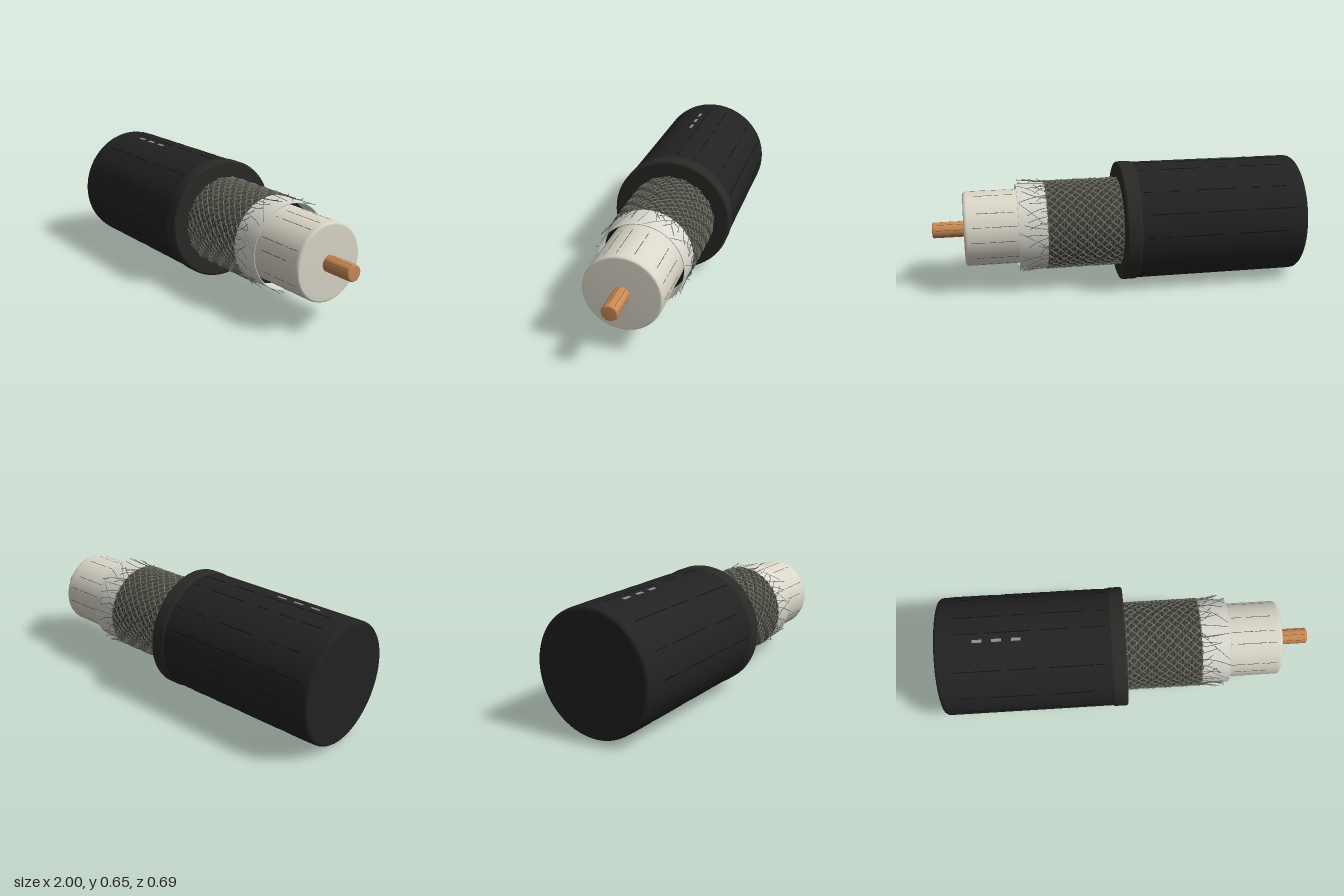
import * as THREE from 'three';
import { mergeGeometries } from 'three/addons/utils/BufferGeometryUtils.js';

const UP = new THREE.Vector3(1, 0, 0);

// small seeded generator
let seed = 7;
const rand = (a = 0, b = 1) => {
  seed = (seed * 16807) % 2147483647;
  return a + (b - a) * (seed / 2147483647);
};

// point on the cable: s along the axis, r from it, angle a from the top towards the front
const at = (s, r, a) => new THREE.Vector3(s, r * Math.cos(a), r * Math.sin(a));

const mat = (color, side = THREE.FrontSide) => new THREE.MeshStandardMaterial({ color, side });

function part(name, geometry, material) {
  const mesh = new THREE.Mesh(geometry, material);
  mesh.name = name;
  return mesh;
}

// turned body from [s, r] pairs
function turned(profile, segments = 64) {
  const points = profile.map(([s, r]) => new THREE.Vector2(r, s));
  return new THREE.LatheGeometry(points, segments).rotateZ(-Math.PI / 2);
}

function wire(points, radius, steps, sides = 4) {
  return new THREE.TubeGeometry(new THREE.CatmullRomCurve3(points), steps, radius, sides);
}

// thin strip lying lengthwise on a round surface
function strip(s0, s1, r, a, width, height) {
  return new THREE.BoxGeometry(s1 - s0, height, width)
    .translate((s0 + s1) / 2, r, 0)
    .applyMatrix4(new THREE.Matrix4().makeRotationAxis(UP, a));
}

// broken lengthwise grooves around a body
function grooves(count, s0, s1, r, width) {
  const list = [];
  for (let i = 0; i < count; i++) {
    const a = (i / count) * Math.PI * 2 + rand(0, 0.25);
    let s = s0 + rand(0, 0.1) * (s1 - s0);
    while (s < s1 - 0.03) {
      const e = Math.min(s1, s + rand(0.06, 0.35) * (s1 - s0));
      list.push(strip(s, e, r, a, width, 0.003));
      s = e + rand(0.01, 0.12) * (s1 - s0);
    }
  }
  return mergeGeometries(list);
}

export function createModel() {
  seed = 7;
  const model = new THREE.Group();
  model.name = 'strippedCable';
  const cable = new THREE.Group();
  cable.name = 'cable';
  cable.position.set(0, 0.327, 0.018);
  cable.rotation.y = -0.0436;
  model.add(cable);

  const jacketMat = mat(0x222222);
  const darkMat = mat(0x0e0e0e);
  const wireMat = mat(0x77776c);
  const foilMat = mat(0xd8d8d0, THREE.DoubleSide);

  // outer jacket with softened rear edge
  cable.add(part('jacket', turned([
    [-0.985, 0], [-0.985, 0.3], [-0.983, 0.312], [-0.975, 0.318], [-0.96, 0.32],
    [-0.5, 0.32], [-0.02, 0.32],
  ], 80), jacketMat));
  cable.add(part('jacketGrooves', grooves(14, -0.95, -0.1, 0.32, 0.004), darkMat));

  // raised lip where the jacket is cut
  cable.add(part('jacketLip', turned([
    [-0.085, 0.316], [-0.08, 0.323], [-0.07, 0.325], [-0.012, 0.325], [-0.003, 0.322],
    [0, 0.314], [0, 0.312], [0, 0.235],
  ], 80), mat(0x2b2926)));

  // three pale dashes on top of the jacket
  const dashes = [-0.785, -0.685, -0.585].map((s) => strip(s, s + 0.05, 0.32, 0.13, 0.016, 0.004));
  cable.add(part('markingDashes', mergeGeometries(dashes), mat(0x8c8c8c)));

  // braid core
  cable.add(part('braidCore', turned([
    [-0.02, 0.233], [0.4, 0.233], [0.4, 0.232], [0.4, 0.2],
  ]), mat(0x34342f)));

  // woven braid: two opposing sets of strands passing over and under
  const braid = [];
  const COUNT = 32, STEPS = 36;
  for (const dir of [1, -1]) {
    for (let i = 0; i < COUNT; i++) {
      const pts = [];
      for (let k = 0; k <= STEPS; k++) {
        const t = k / STEPS;
        const a = (i / COUNT) * Math.PI * 2 + dir * t * 1.75;
        const r = 0.2355 + dir * 0.003 * Math.sin(t * Math.PI * 18 + i * Math.PI);
        pts.push(at(-0.01 + t * 0.415, r, a));
      }
      braid.push(wire(pts, 0.0038, STEPS * 2));
    }
  }
  cable.add(part('braidStrands', mergeGeometries(braid), wireMat));

  // fine hoops that give the braid its ribbed edge
  const hoops = [];
  for (let s = 0.008; s < 0.4; s += 0.0155) {
    hoops.push(new THREE.TorusGeometry(0.236, 0.003, 4, 64).rotateY(Math.PI / 2).translate(s, 0, 0));
  }
  cable.add(part('braidHoops', mergeGeometries(hoops), mat(0x55554c)));

  // loose wires at the end of the braid
  const fray = [];
  for (let i = 0; i < 64; i++) {
    const a = (i / 64) * Math.PI * 2 + rand(-0.05, 0.05);
    const len = rand(0.03, 0.15), lift = rand(0, 0.018), turn = rand(-0.25, 0.25);
    fray.push(wire([
      at(0.385, 0.235, a),
      at(0.4 + len * 0.5, 0.235 + lift * 0.3, a + turn * 0.4),
      at(0.4 + len, 0.235 + lift, a + turn),
    ], 0.0016, 6));
  }
  cable.add(part('frayedWires', mergeGeometries(fray), mat(0x66665c)));

  // foil sleeve, open at the front
  cable.add(part('foil', turned([
    [0.38, 0.232], [0.45, 0.231], [0.5, 0.229], [0.55, 0.228],
    [0.552, 0.226], [0.55, 0.223], [0.5, 0.222], [0.4, 0.222],
  ]), foilMat));
  cable.add(part('foilGap', turned([[0.45, 0.225], [0.45, 0.195]]), mat(0x1c1c1a, THREE.DoubleSide)));

  // overlapping foil edges and creases
  const creases = [];
  for (let i = 0; i < 9; i++) {
    const a = -0.5 + i * 0.7 + rand(-0.15, 0.15), sweep = rand(0.3, 0.7);
    const pts = [0, 0.33, 0.67, 1].map((t) => at(0.4 + t * 0.145, 0.232 - t * 0.003, a + t * sweep));
    creases.push(wire(pts, 0.0014, 10));
  }
  cable.add(part('foilCreases', mergeGeometries(creases), mat(0x77776f)));

  // pale insulation
  cable.add(part('insulation', turned([
    [0.4, 0.2], [0.6, 0.2], [0.815, 0.2], [0.827, 0.197], [0.833, 0.188], [0.833, 0],
  ]), mat(0xdad6c8)));
  cable.add(part('insulationGrooves', grooves(14, 0.55, 0.8, 0.199, 0.003), mat(0x55534c)));

  // copper conductor
  cable.add(part('conductor', turned([
    [0.8, 0.042], [0.9, 0.042], [0.992, 0.042], [0.998, 0.039], [1, 0.034], [1, 0],
  ], 32), mat(0xc98a55)));
  const scores = [];
  for (let i = 0; i < 8; i++) {
    scores.push(strip(0.835, 0.985, 0.0415, (i / 8) * Math.PI * 2 + 0.2, 0.002, 0.0015));
  }
  cable.add(part('conductorScores', mergeGeometries(scores), mat(0x7a4a28)));

  return model;
}
